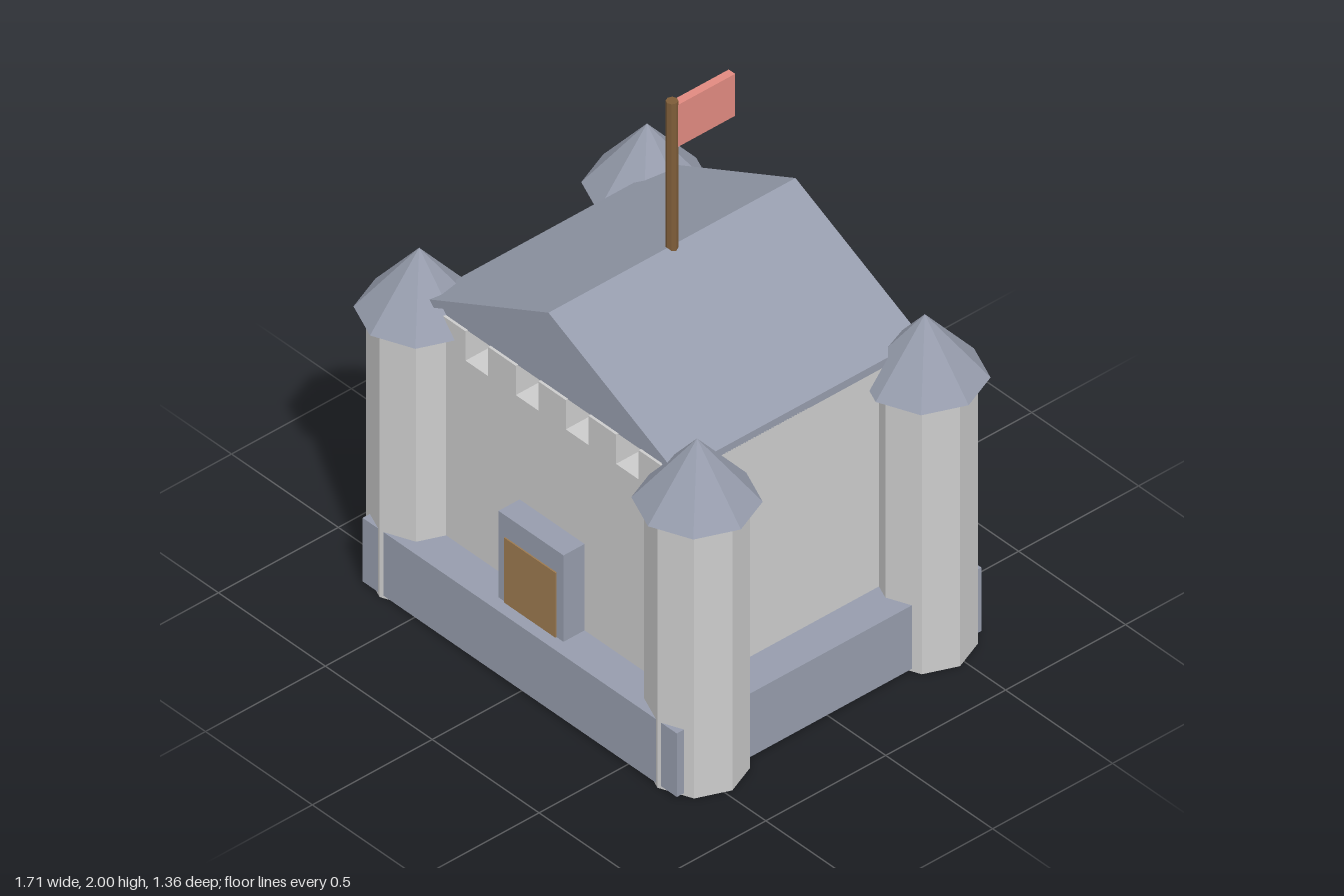
import * as THREE from 'three';

const mat = (color) => new THREE.MeshStandardMaterial({ color, flatShading: true });
const stone = mat(0xcccccc), slate = mat(0x969cac), wood = mat(0x9c7a50), poleWood = mat(0x7d5c38), red = mat(0xe08a80);

export function createModel() {
  const castle = new THREE.Group();
  castle.name = 'castle';

  const add = (name, geometry, material, x = 0, y = 0, z = 0) => {
    const mesh = new THREE.Mesh(geometry, material);
    mesh.name = name;
    mesh.position.set(x, y, z);
    castle.add(mesh);
    return mesh;
  };
  // Box given by its lower and upper limits on each axis
  const box = (name, material, [x0, x1], [y0, y1], [z0, z1]) =>
    add(name, new THREE.BoxGeometry(x1 - x0, y1 - y0, z1 - z0), material,
      (x0 + x1) / 2, (y0 + y1) / 2, (z0 + z1) / 2);
  // Outline in x and y extruded symmetrically along z
  const prism = (name, material, points, halfDepth) => {
    const shape = new THREE.Shape(points.map(([x, y]) => new THREE.Vector2(x, y)));
    const geometry = new THREE.ExtrudeGeometry(shape, { depth: 2 * halfDepth, bevelEnabled: false });
    return add(name, geometry, material, 0, 0, -halfDepth);
  };

  // Plinth and main hall
  box('plinth', slate, [-0.735, 0.735], [0.01, 0.26], [-0.635, 0.635]);
  box('hall', stone, [-0.595, 0.595], [0.26, 1.0], [-0.5, 0.5]);

  // Battlements: bars with open gaps running from front to back
  const gaps = [-0.352, -0.117, 0.117, 0.352], half = 0.053;
  const edges = [-0.595, ...gaps.flatMap((x) => [x - half, x + half]), 0.595];
  for (let i = 0; i < edges.length; i += 2) {
    box('battlement', stone, [edges[i], edges[i + 1]], [1.0, 1.115], [-0.5, 0.5]);
  }

  // Gabled roof, with the gable set in slightly
  prism('gable', slate, [[-0.57, 1.112], [0.57, 1.112], [0, 1.4]], 0.49);
  prism('roof', slate, [[0.595, 1.112], [0.595, 1.142], [0, 1.43],
    [-0.595, 1.142], [-0.595, 1.112], [0, 1.395]], 0.515);

  // Corner towers with pointed caps
  for (const x of [-0.65, 0.65]) {
    for (const z of [-0.475, 0.475]) {
      add('tower', new THREE.CylinderGeometry(0.165, 0.165, 1.05, 8), stone, x, 0.525, z);
      add('towerCap', new THREE.ConeGeometry(0.205, 0.24, 8), slate, x, 1.17, z);
    }
  }

  // Doorway
  box('doorFrame', slate, [-0.152, 0.152], [0.26, 0.6], [0.49, 0.588]);
  box('door', wood, [-0.12, 0.12], [0.26, 0.515], [0.5, 0.593]);

  // Flag on the ridge, flying towards the back
  add('flagPole', new THREE.CylinderGeometry(0.02, 0.02, 0.6, 8), poleWood, 0, 1.7, 0);
  box('flag', red, [-0.015, 0.015], [1.82, 1.985], [-0.25, -0.01]);

  return castle;
}
